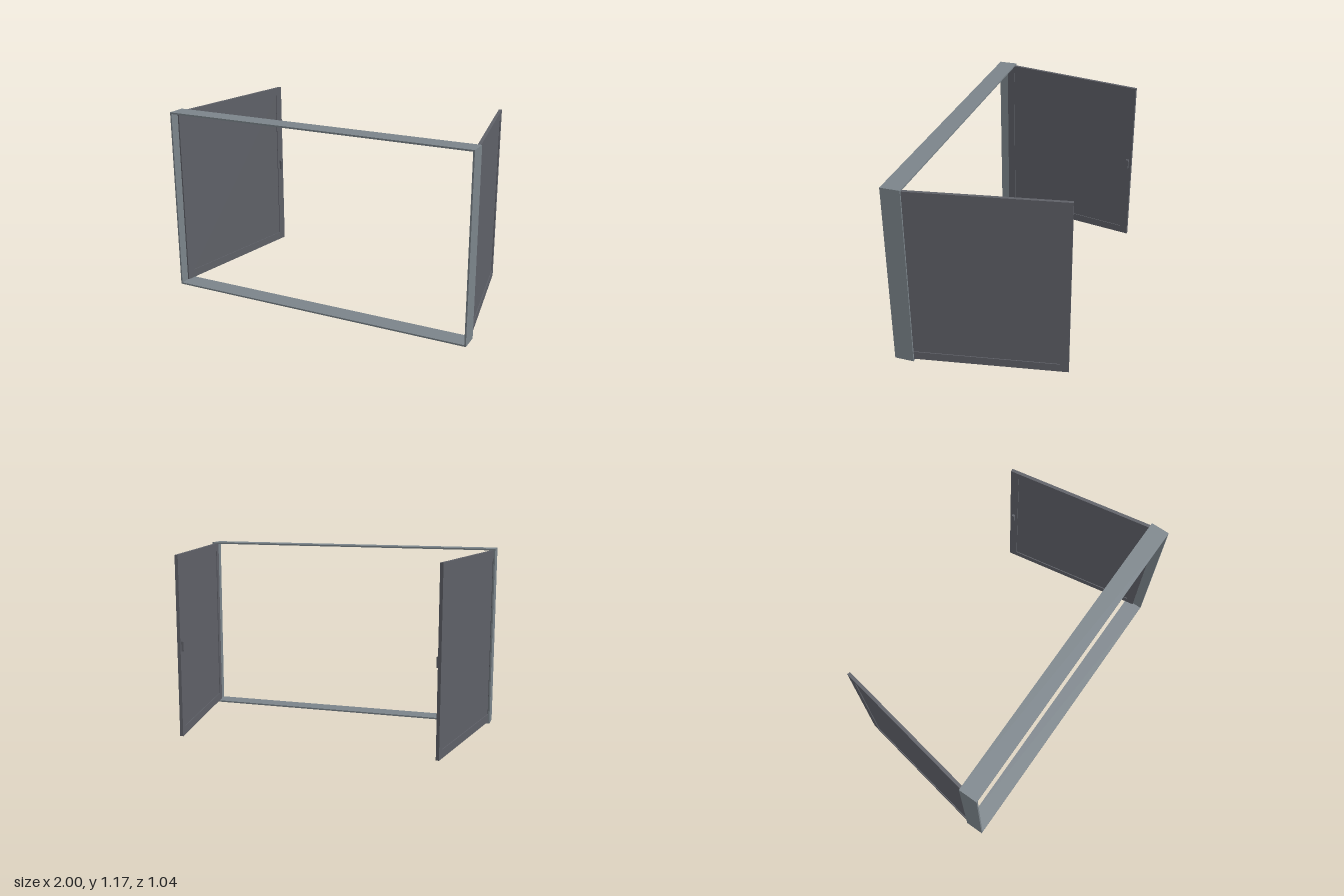
import * as THREE from 'three';

const frameMat = new THREE.MeshStandardMaterial({ color: 0x7b848a });
const doorMat = new THREE.MeshStandardMaterial({ color: 0x5e6067 });

const W = 2, H = 1.17, T = 0.01;          // outer frame size and board thickness
const DOOR_W = 0.99, DOOR_H = 1.148, DOOR_T = 0.02, RIM = 0.053;

function box(name, mat, w, h, d, x, y, z) {
  const mesh = new THREE.Mesh(new THREE.BoxGeometry(w, h, d), mat);
  mesh.name = name;
  mesh.position.set(x, y, z);
  return mesh;
}

// Rectangle outline, usable as a shape or a hole
function rect(path, x0, y0, x1, y1) {
  path.moveTo(x0, y0).lineTo(x1, y0).lineTo(x1, y1).lineTo(x0, y1).closePath();
  return path;
}

// Shallow frame: four thin boards around an open centre
function buildFrame() {
  const shape = rect(new THREE.Shape(), -W / 2, 0, W / 2, H);
  shape.holes.push(rect(new THREE.Path(), -W / 2 + T, T, W / 2 - T, H - T));
  const geo = new THREE.ExtrudeGeometry(shape, { depth: 0.12, bevelEnabled: false });
  const frame = new THREE.Mesh(geo, frameMat);
  frame.name = 'outerFrame';
  frame.position.z = 0.4;
  return frame;
}

// Door with raised rim, recessed panel and a pull; side is +1 (left) or -1 (right)
function buildDoor(side) {
  const door = new THREE.Group();
  door.name = side > 0 ? 'leftDoor' : 'rightDoor';

  const shape = rect(new THREE.Shape(), 0, 0, DOOR_W, DOOR_H);
  shape.holes.push(rect(new THREE.Path(), RIM, RIM, DOOR_W - RIM, DOOR_H - RIM));
  const geo = new THREE.ExtrudeGeometry(shape, { depth: DOOR_T, bevelEnabled: false });
  geo.translate(0, 0, -DOOR_T / 2);
  geo.rotateY(Math.PI / 2);               // width now runs along -z
  const rim = new THREE.Mesh(geo, doorMat);
  rim.name = 'doorRim';
  door.add(rim);

  door.add(box('doorPanel', doorMat, 0.01, DOOR_H - 2 * RIM, DOOR_W - 2 * RIM,
    0, DOOR_H / 2, -DOOR_W / 2));
  door.add(box('doorPull', doorMat, 0.016, 0.065, 0.018,
    -side * 0.017, 0.576, -DOOR_W + 0.026));

  // Hinged at the frame, swung open to 80 degrees
  door.position.set(side * 0.99, 0.012, 0.458);
  door.rotation.y = side * THREE.MathUtils.degToRad(10);
  return door;
}

export function createModel() {
  const model = new THREE.Group();
  model.name = 'doubleDoorFrame';
  model.add(buildFrame(), buildDoor(1), buildDoor(-1));
  return model;
}
